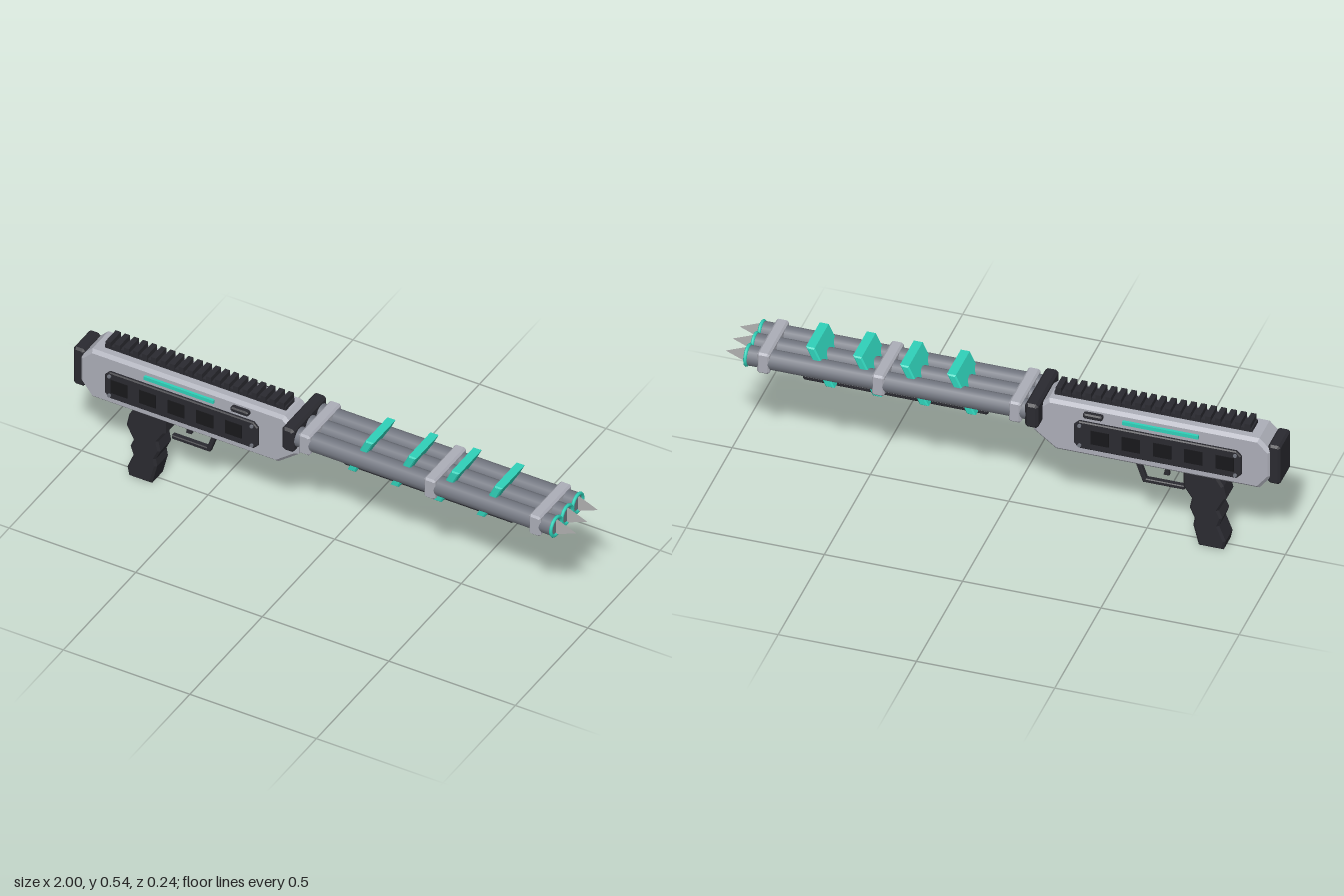
import * as THREE from 'three';

const paint = (color) => new THREE.MeshStandardMaterial({ color });
const light = paint(0xabadb7);
const steel = paint(0x737781);
const dark = paint(0x2a2a30);
const black = paint(0x18181b);
const teal = paint(0x2fd0b8);
const spikeGrey = paint(0xb0b0b0);
spikeGrey.side = THREE.DoubleSide;

// Side profile in x/y, extruded symmetrically across z with a bevelled rim
function profile(points, width, bevel) {
  const shape = new THREE.Shape(points.map(([x, y]) => new THREE.Vector2(x, y)));
  const depth = width - 2 * bevel;
  return new THREE.ExtrudeGeometry(shape, {
    depth, bevelEnabled: bevel > 0, bevelThickness: bevel, bevelSize: bevel,
    bevelOffset: -bevel, bevelSegments: 1,
  }).translate(0, 0, -depth / 2);
}

// Block with cut corners, centred on the origin
function block(w, h, d, cut, bevel = cut) {
  const x = w / 2, y = h / 2;
  return profile([
    [-x + cut, -y], [x - cut, -y], [x, -y + cut], [x, y - cut],
    [x - cut, y], [-x + cut, y], [-x, y - cut], [-x, -y + cut],
  ], d, bevel);
}

export function createModel() {
  const model = new THREE.Group();
  const add = (name, geometry, material, x = 0, y = 0, z = 0, parent = model) => {
    const mesh = new THREE.Mesh(geometry, material);
    mesh.name = name;
    mesh.position.set(x, y, z);
    parent.add(mesh);
    return mesh;
  };
  const group = (name) => {
    const g = new THREE.Group();
    g.name = name;
    model.add(g);
    return g;
  };

  // Receiver body and butt plate
  add('receiver', profile([
    [-0.97, 0.36], [-0.925, 0.303], [-0.19, 0.303], [-0.11, 0.365],
    [-0.11, 0.46], [-0.165, 0.51], [-0.925, 0.51], [-0.97, 0.465],
  ], 0.134, 0.012), light);
  add('buttPlate', block(0.045, 0.16, 0.12, 0.008), dark, -0.978, 0.41);

  // Toothed top rail
  const rail = group('topRail');
  add('railBase', new THREE.BoxGeometry(0.715, 0.016, 0.06), dark, -0.533, 0.516, 0, rail);
  const tooth = new THREE.BoxGeometry(0.02, 0.026, 0.07);
  for (let i = 0; i < 20; i++) {
    add('railTooth', tooth, dark, -0.875 + i * 0.036, 0.53, 0, rail);
  }

  // Side panels with windows, bolts, light strip and button
  const bolt = new THREE.CylinderGeometry(0.007, 0.007, 0.014, 8).rotateX(Math.PI / 2);
  for (const side of [1, -1]) {
    const panel = group(side > 0 ? 'frontSidePanel' : 'backSidePanel');
    add('panelPlate', block(0.605, 0.112, 0.024, 0.018, 0.004), dark, -0.563, 0.394, side * 0.066, panel);
    for (let i = 0; i < 5; i++) {
      add('panelWindow', new THREE.BoxGeometry(0.066, 0.056, 0.01), black,
        -0.807 + i * 0.113, 0.394, side * 0.0755, panel);
    }
    for (const x of [-0.845, -0.282]) {
      for (const y of [0.353, 0.435]) add('panelBolt', bolt, steel, x, y, side * 0.077, panel);
    }
    add('lightStrip', new THREE.BoxGeometry(0.275, 0.014, 0.02), teal, -0.573, 0.477, side * 0.067, panel);
    add('sideButton', block(0.07, 0.02, 0.03, 0.005), dark, -0.33, 0.481, side * 0.071, panel);
  }

  // Grip with finger waves
  add('grip', profile([
    [-0.79, 0], [-0.70, 0], [-0.68, 0.08], [-0.685, 0.11], [-0.667, 0.15],
    [-0.675, 0.19], [-0.645, 0.235], [-0.645, 0.305], [-0.765, 0.305], [-0.79, 0.265],
    [-0.80, 0.215], [-0.772, 0.16], [-0.785, 0.13], [-0.773, 0.095], [-0.797, 0.035],
  ], 0.09, 0.008), dark);

  // Trigger and its guard
  add('triggerGuard', profile([
    [-0.638, 0.197], [-0.488, 0.197], [-0.45, 0.305], [-0.468, 0.305],
    [-0.5, 0.213], [-0.638, 0.213],
  ], 0.022, 0.003), dark);
  add('trigger', profile([
    [-0.583, 0.243], [-0.562, 0.243], [-0.568, 0.27], [-0.56, 0.305], [-0.585, 0.305], [-0.58, 0.27],
  ], 0.018, 0.002), dark);

  // Collar and barrel brackets
  add('collar', block(0.048, 0.098, 0.236, 0.009), dark, -0.12, 0.461);
  for (const x of [-0.058, 0.437, 0.852]) {
    add('barrelBracket', block(0.045, 0.084, 0.224, 0.007), light, x, 0.46);
  }

  // Three barrels, each with a glowing ring and a flat spike
  const barrel = new THREE.CylinderGeometry(0.036, 0.036, 1.02, 14).rotateZ(-Math.PI / 2);
  const ring = new THREE.TorusGeometry(0.0355, 0.0065, 8, 14).rotateY(Math.PI / 2);
  const spike = new THREE.ShapeGeometry(new THREE.Shape([
    new THREE.Vector2(0, -0.034), new THREE.Vector2(0.08, 0), new THREE.Vector2(0, 0.034),
  ]));
  for (const z of [-0.075, 0, 0.075]) {
    add('barrel', barrel, steel, 0.406, 0.46, z);
    add('muzzleRing', ring, teal, 0.917, 0.46, z);
    add('muzzleSpike', spike, spikeGrey, 0.918, 0.46, z);
  }

  // Slanted blades crossing the barrels
  const blade = profile([
    [0.094, 0.391], [0.126, 0.391], [0.198, 0.543], [0.166, 0.543],
  ], 0.16, 0.005);
  for (let i = 0; i < 4; i++) add('coilBlade', blade, teal, i * 0.17);

  // Rail under the barrels
  add('underRail', block(0.67, 0.022, 0.096, 0.006), dark, 0.395, 0.389);

  return model;
}
